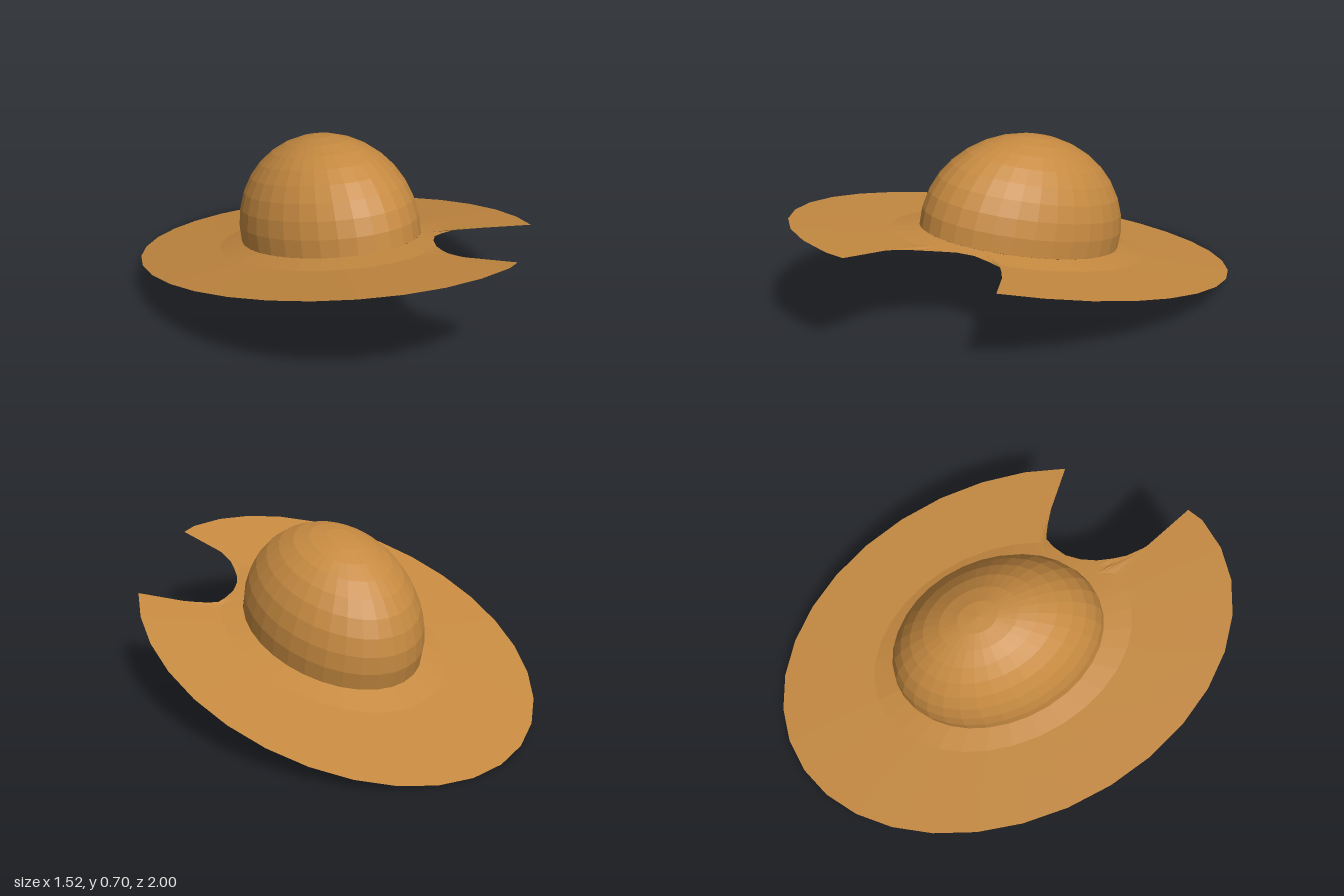
import * as THREE from 'three';

const TILT = 0.2275;            // the front of the hat is raised
const RX = 0.76, RZ = 1.026;    // outer radii of the brim
const INNER_X = 0.345, INNER_Z = 0.464; // opening under the crown
const rad = THREE.MathUtils.degToRad;

// The brim lifts gently towards the crown
function rise(x, z) {
  const r = Math.hypot(x / RX, z / RZ);
  if (r > 0.575) return 0.008 * (1 - r) / 0.425;
  return 0.008 + 0.022 * Math.min(1, (0.575 - r) / 0.122);
}

// Pairs of an outer edge point and the angle of its inner end, right round the brim
function brimColumns() {
  const columns = [];
  const edge = (outer, inner) =>
    columns.push([RX * Math.sin(rad(outer)), RZ * Math.cos(rad(outer)), inner]);
  for (let k = 6; k <= 32; k++) edge(k * 11.25, k * 11.25);
  edge(371.25, 364);
  // Bitten-out notch
  const notch = new THREE.SplineCurve([
    [0.217, 0.947], [0.18, 0.894], [0.153, 0.8], [0.138, 0.667], [0.153, 0.577],
    [0.19, 0.48], [0.254, 0.4], [0.339, 0.36], [0.4, 0.353], [0.497, 0.376],
    [0.57, 0.44], [0.614, 0.508], [0.635, 0.55],
  ].map(([x, z]) => new THREE.Vector2(x, z * 1.026)));
  const steps = 18;
  for (let i = 0; i <= steps; i++) {
    const p = notch.getPoint(i / steps);
    columns.push([p.x, p.y, 368 + 48 * i / steps]);
  }
  return columns;
}

function brimGeometry() {
  const columns = brimColumns();
  const rings = [0, 0.4, 0.78, 1];
  const positions = [], indices = [];
  for (const [ox, oz, angle] of columns) {
    const ix = INNER_X * Math.sin(rad(angle)), iz = INNER_Z * Math.cos(rad(angle));
    for (const t of rings) {
      const x = ox + (ix - ox) * t, z = oz + (iz - oz) * t;
      positions.push(x, rise(x, z), z);
    }
  }
  const n = rings.length;
  for (let c = 0; c < columns.length; c++) {
    for (let r = 0; r < n - 1; r++) {
      const a = c * n + r, b = ((c + 1) % columns.length) * n + r;
      indices.push(a, b, a + 1, b, b + 1, a + 1);
    }
  }
  const geometry = new THREE.BufferGeometry();
  geometry.setAttribute('position', new THREE.Float32BufferAttribute(positions, 3));
  geometry.setIndex(indices);
  geometry.computeVertexNormals();
  return geometry;
}

export function createModel() {
  const straw = new THREE.MeshStandardMaterial({
    color: 0xc68a41, flatShading: true, side: THREE.DoubleSide,
  });
  straw.name = 'straw';

  const hat = new THREE.Group();
  hat.name = 'hat';

  const brim = new THREE.Mesh(brimGeometry(), straw);
  brim.name = 'brim';

  // Hollow domed crown, open underneath
  const dome = new THREE.SphereGeometry(1, 32, 9, 0, Math.PI * 2, 0, 1.672);
  dome.scale(0.347, 0.395, 0.468);
  const crown = new THREE.Mesh(dome, straw);
  crown.name = 'crown';
  crown.position.y = 0.07;

  hat.add(brim, crown);
  hat.rotation.x = -TILT;
  hat.position.y = RZ * Math.sin(TILT);

  const model = new THREE.Group();
  model.name = 'model';
  model.add(hat);
  return model;
}
